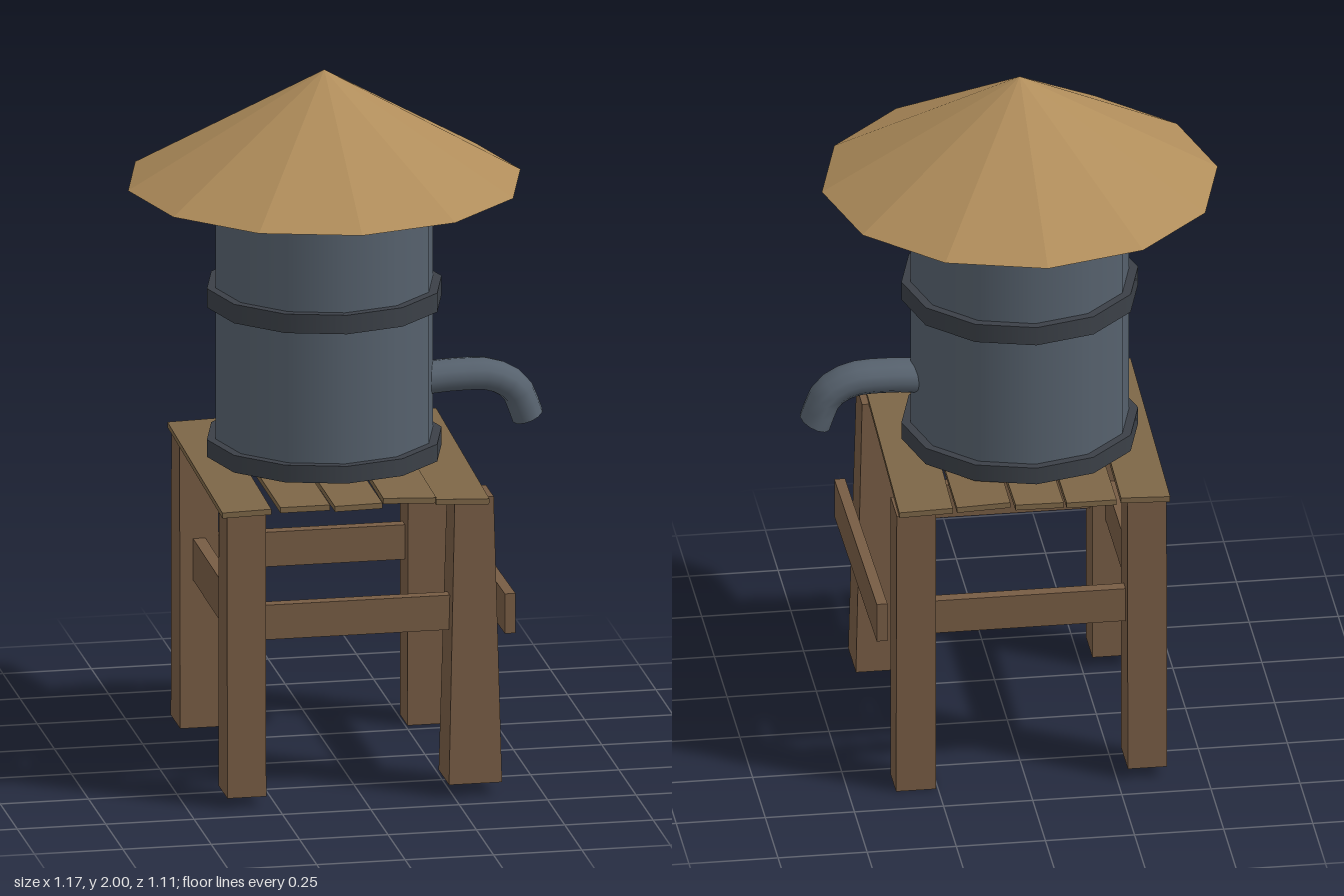
import * as THREE from 'three';

const paint = (color, flat = false) => {
  const m = new THREE.MeshStandardMaterial({ flatShading: flat });
  m.color.set(color);
  return m;
};
const legWood = paint(0x775c44, true);
const plankWood = paint(0x7d6647, true);
const straw = paint(0xb08d5b, true);
const metal = paint(0x56616d);
const darkMetal = paint(0x3b4047);

export function createModel() {
  const model = new THREE.Group();
  const add = (name, geometry, material, x = 0, y = 0, z = 0) => {
    const mesh = new THREE.Mesh(geometry, material);
    mesh.name = name;
    mesh.position.set(x, y, z);
    model.add(mesh);
    return mesh;
  };

  // Barrel with two hoops, slightly off centre
  const cx = -0.035;
  add('barrel', new THREE.CylinderGeometry(0.307, 0.307, 0.78, 12), metal, cx, 1.29);
  for (const [y, h] of [[0.922, 0.05], [1.357, 0.055]]) {
    add('hoop', new THREE.CylinderGeometry(0.332, 0.332, h, 12), darkMetal, cx, y);
  }

  // Conical roof
  add('roof', new THREE.ConeGeometry(0.555, 0.32, 12), straw, cx, 1.84);

  // Bent spout, a little wider than tall
  const path = new THREE.CatmullRomCurve3([
    [0.23, 1.09], [0.34, 1.097], [0.44, 1.09], [0.505, 1.05], [0.54, 0.967],
  ].map(([x, y]) => new THREE.Vector3(x, y, 0)));
  const spout = add('spout', new THREE.TubeGeometry(path, 10, 0.045, 12), metal);
  spout.scale.z = 1.35;
  const end = add('spoutEnd', new THREE.CircleGeometry(0.045, 12), darkMetal, 0.54, 0.967);
  end.quaternion.setFromUnitVectors(new THREE.Vector3(0, 0, 1), path.getTangent(1));
  end.scale.x = 1.35;
  // Turn the wide axis of the end cap across the spout
  end.rotateZ(Math.PI / 2);

  // Legs: centre x and z, foot height, top and bottom widths along x and z
  const legs = [
    ['frontRightLeg', -0.335, 0.353, 0.03, 0.11, 0.12, 0.11, 0.13],
    ['frontLeftLeg', 0.31, 0.352, 0.037, 0.11, 0.115, 0.15, 0.152],
    ['backRightLeg', -0.335, -0.34, 0.032, 0.11, 0.12, 0.11, 0.138],
    ['backLeftLeg', 0.312, -0.34, 0, 0.11, 0.12, 0.112, 0.105],
  ];
  for (const [name, x, z, foot, tw, td, bw, bd] of legs) {
    const h = 0.86 - foot;
    const g = new THREE.BoxGeometry(1, h, 1);
    const p = g.attributes.position;
    for (let i = 0; i < p.count; i++) {
      const top = p.getY(i) > 0;
      p.setX(i, p.getX(i) * (top ? tw : bw));
      p.setZ(i, p.getZ(i) * (top ? td : bd));
    }
    add(name, g, legWood, x, foot + h / 2, z);
  }

  // Rails between the legs, and one nailed outside on the spout side
  add('frontRail', new THREE.BoxGeometry(0.58, 0.1, 0.035), legWood, -0.015, 0.52, 0.355);
  add('backRail', new THREE.BoxGeometry(0.58, 0.1, 0.035), legWood, -0.015, 0.52, -0.345);
  add('rightRail', new THREE.BoxGeometry(0.035, 0.12, 0.62), legWood, -0.335, 0.516, 0).rotation.x = 0.01;
  const outer = add('outerRail', new THREE.BoxGeometry(0.03, 0.115, 0.78), legWood, 0.408, 0.518, 0.018);
  outer.rotation.y = 0.01;

  // Uneven deck planks: x, y, z, width, pitch, yaw, roll
  const planks = [
    [-0.335, 0.867, 0.018, 0.138, 0.01, -0.016, 0.03],
    [-0.176, 0.869, 0.012, 0.14, 0.008, 0, 0],
    [-0.028, 0.868, 0.016, 0.135, 0.012, 0.006, 0.015],
    [0.124, 0.878, 0.008, 0.15, 0.015, -0.008, -0.04],
    [0.277, 0.868, 0.023, 0.15, 0.008, -0.022, -0.035],
  ];
  for (const [x, y, z, w, pitch, yaw, roll] of planks) {
    add('deckPlank', new THREE.BoxGeometry(w, 0.016, 0.875), plankWood, x, y, z)
      .rotation.set(pitch, yaw, roll);
  }
  return model;
}
